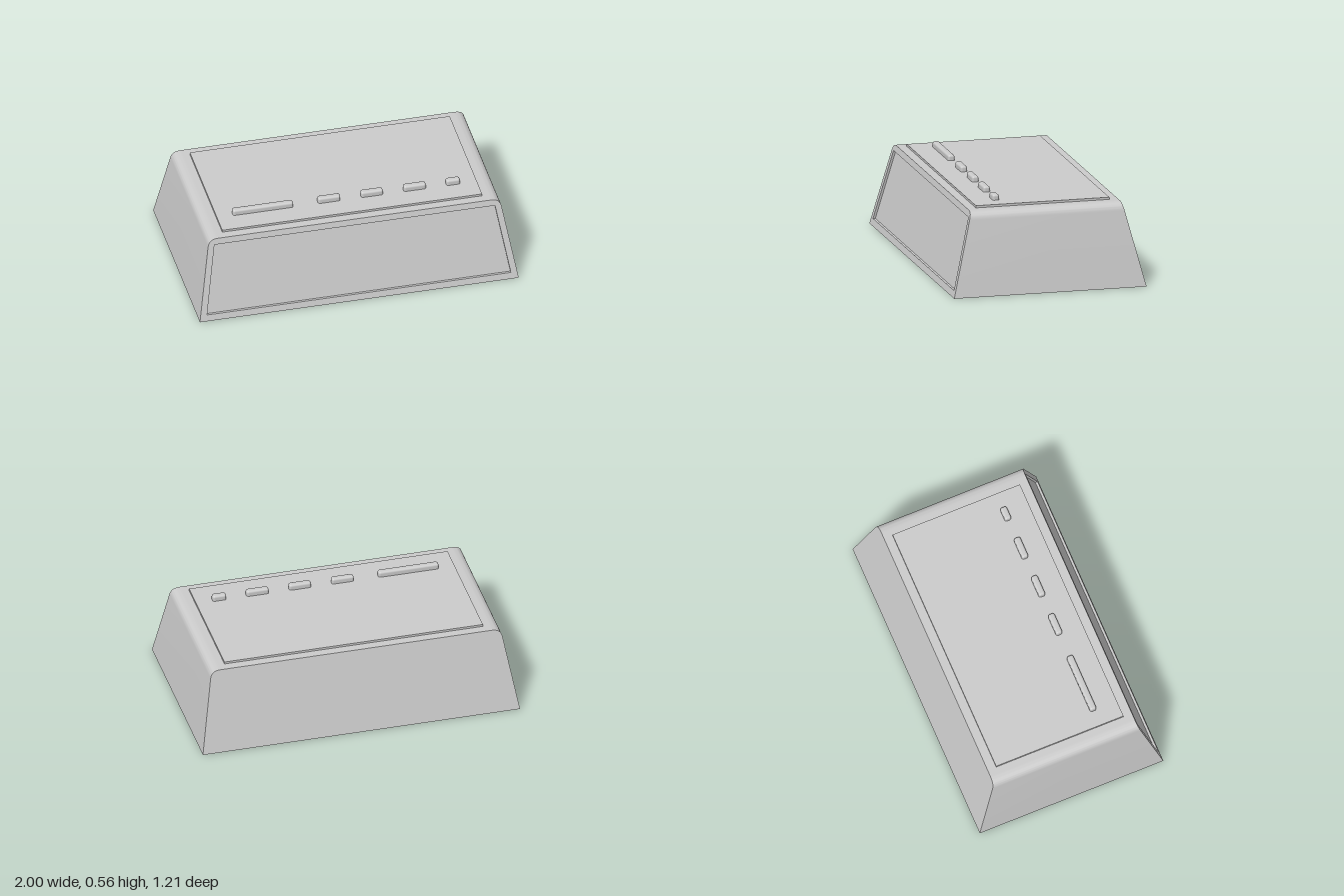
import * as THREE from 'three';
import { toCreasedNormals } from 'three/addons/utils/BufferGeometryUtils.js';
import { RoundedBoxGeometry } from 'three/addons/geometries/RoundedBoxGeometry.js';

const H = 0.515;
const RECESS = 0.015;
// half depth of the tapered body at height y
const halfDepth = (y) => 0.607 - (0.13 * y) / H;

// front outline: sloped sides with rounded upper corners
function bodyOutline() {
  const s = new THREE.Shape();
  s.moveTo(-1, 0);
  s.lineTo(1, 0);
  s.lineTo(0.921, 0.465);
  s.bezierCurveTo(0.914, 0.502, 0.895, H, 0.85, H);
  s.lineTo(-0.85, H);
  s.bezierCurveTo(-0.895, H, -0.914, 0.502, -0.921, 0.465);
  s.closePath();
  return s;
}

// extrude a shape, then slide its two ends onto the sloping planes zBack(y), zFront(y)
function slopedExtrude(shape, zBack, zFront) {
  const g = new THREE.ExtrudeGeometry(shape, { depth: 1, bevelEnabled: false, curveSegments: 12 });
  const p = g.attributes.position;
  for (let i = 0; i < p.count; i++) {
    const y = p.getY(i);
    p.setZ(i, p.getZ(i) > 0.5 ? zFront(y) : zBack(y));
  }
  return toCreasedNormals(g, 0.5);
}

export function createModel() {
  const group = new THREE.Group();
  const material = new THREE.MeshStandardMaterial({ color: 0xcccccc });
  const add = (name, geometry, x = 0, y = 0, z = 0) => {
    const mesh = new THREE.Mesh(geometry, material);
    mesh.name = name;
    mesh.position.set(x, y, z);
    group.add(mesh);
  };

  const frontInner = (y) => halfDepth(y) - RECESS;
  add('body', slopedExtrude(bodyOutline(), (y) => -halfDepth(y), frontInner));

  // raised rim around the recessed front panel
  const rim = bodyOutline();
  rim.holes.push(new THREE.Path([
    new THREE.Vector2(-0.953, 0.04),
    new THREE.Vector2(-0.88, 0.477),
    new THREE.Vector2(0.88, 0.477),
    new THREE.Vector2(0.953, 0.04),
  ]));
  add('frontRim', slopedExtrude(rim, frontInner, halfDepth));

  // thin plate on the top
  add('topPlate', new THREE.BoxGeometry(1.63, 0.024, 0.842), 0, 0.517, 0);

  // row of buttons: [left end, right end]
  const buttons = [[-0.715, -0.335], [-0.18, -0.04], [0.09, 0.228], [0.357, 0.497], [0.625, 0.711]];
  buttons.forEach(([a, b], i) => {
    add(i === 0 ? 'longButton' : 'button' + i,
      new RoundedBoxGeometry(b - a, 0.06, 0.042, 4, 0.014), (a + b) / 2, 0.534, 0.266);
  });

  return group;
}
